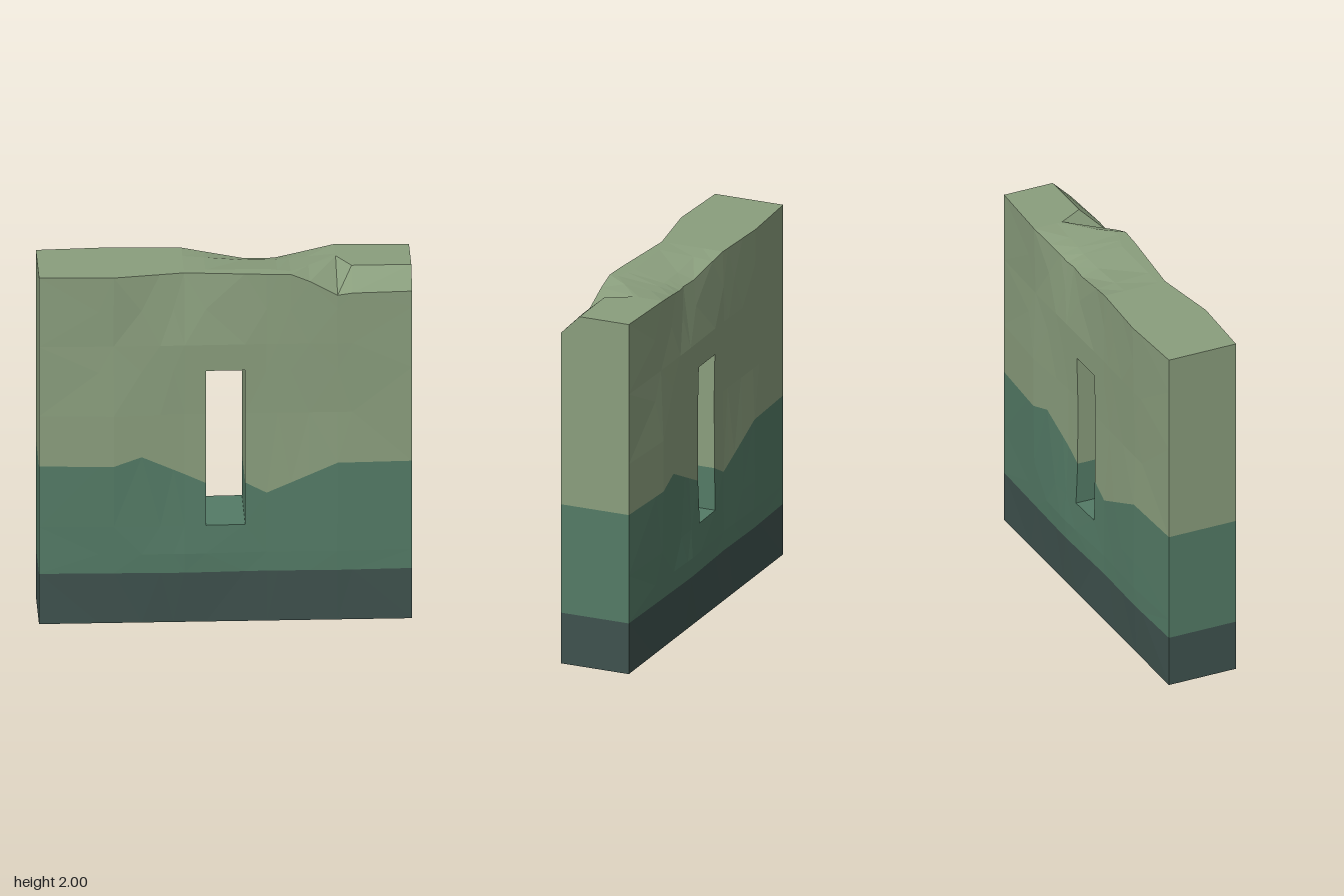
import * as THREE from 'three';

const MATS = {
  slate: new THREE.MeshStandardMaterial({ color: 0x3f524e }),
  teal: new THREE.MeshStandardMaterial({ color: 0x547b66 }),
  moss: new THREE.MeshStandardMaterial({ color: 0x8a9e7d }),
};
for (const [name, m] of Object.entries(MATS)) m.name = name;

const half = [0.105, 0.22, 0.28, 0.35, 0.45, 0.6, 0.68, 1];
const COLS = [...half.map((v) => -v).reverse(), ...half];
const BOTTOM = 0.56, LINTEL = 1.45, SLATE = 0.29; // window and base heights

// Piecewise-linear curve through [x, value] points
function curve(points, x) {
  if (x <= points[0][0]) return points[0][1];
  for (let i = 1; i < points.length; i++) {
    const [x0, v0] = points[i - 1], [x1, v1] = points[i];
    if (x <= x1) return v0 + ((v1 - v0) * (x - x0)) / (x1 - x0);
  }
  return points[points.length - 1][1];
}

// Upper limit of the teal band across a face
const band = (u) => curve([[-1, 0.91], [-0.57, 0.91], [-0.45, 0.96], [-0.105, 0.8],
  [0.105, 0.8], [0.22, 0.74], [0.6, 0.91], [1, 0.91]], u);

// Worn top edges: bitten corner on the front, shallow dip on the back
const frontTop = (x) => curve([[0.35, 2], [0.45, 1.96], [0.6, 1.88], [0.68, 1.89], [1, 1.89]], x);
const backTop = (x) => curve([[-0.22, 2], [0.105, 1.945], [0.28, 1.945], [0.6, 2]], x);
const biteDepth = (x) => curve([[0.22, 0.12], [0.35, 0.16], [0.6, -0.05], [0.68, 0.09]], x);

// Uneven thickness, in hundredths, on a coarse grid
const GX = [-1, -0.6, -0.22, 0.22, 0.6, 1];
const RELIEF = [
  [0, [0, 0, 0, 0, 0, 0]],
  [0.4, [0, 1.2, 2.2, 0.5, 1.4, 0]],
  [0.8, [0, 2.2, 0, 0.3, 1.6, 0]],
  [1.2, [0, 2.2, 0, 0, 0.4, 0]],
  [1.6, [0, 0.8, 1, 0.6, 1.4, 0]],
  [2, [0, 1.8, -4, 0, 2, 0]],
];
function depth(u, y) {
  const rows = RELIEF.map(([ry, v]) => [ry, curve(GX.map((g, i) => [g, v[i]]), u)]);
  return 0.2 + curve(rows, y) / 100;
}

// Collects flat facets by colour and turns them into meshes
function part(name, fill) {
  const tris = { slate: [], teal: [], moss: [] };
  fill((colour, ...p) => {
    for (let i = 1; i < p.length - 1; i++) tris[colour].push(...p[0], ...p[i], ...p[i + 1]);
  });
  const group = new THREE.Group();
  group.name = name;
  for (const colour in tris) {
    if (!tris[colour].length) continue;
    const g = new THREE.BufferGeometry();
    g.setAttribute('position', new THREE.Float32BufferAttribute(tris[colour], 3));
    g.computeVertexNormals();
    const mesh = new THREE.Mesh(g, MATS[colour]);
    mesh.name = `${name} ${colour}`;
    group.add(mesh);
  }
  return group;
}

// Large face; s = 1 is the front, s = -1 the back, turned half round
function face(name, s) {
  return part(name, (poly) => {
    const column = (u) => {
      const top = s > 0 ? frontTop(u) : backTop(-u);
      return [0, SLATE, 0.4, BOTTOM, band(u), 1.2, LINTEL, 1.6, 1.8, top]
        .map((y) => [s * u, y, s * depth(u, y)]);
    };
    for (let i = 0; i < COLS.length - 1; i++) {
      const a = column(COLS[i]), b = column(COLS[i + 1]);
      for (let j = 0; j < a.length - 1; j++) {
        if (COLS[i] === -0.105 && j >= 3 && j <= 5) continue; // window opening
        const colour = j < 1 ? 'slate' : j < 4 ? 'teal' : 'moss';
        if ((i + j) % 2) poly(colour, a[j], b[j], b[j + 1], a[j + 1]);
        else poly(colour, b[j], b[j + 1], a[j + 1], a[j]);
      }
    }
  });
}

export function createModel() {
  const wall = new THREE.Group();
  wall.name = 'wall';
  wall.add(face('frontFace', 1), face('backFace', -1));

  // Top surface with the bitten corner
  wall.add(part('topSurface', (poly) => {
    const strip = (x) => [
      [x, frontTop(x), depth(x, frontTop(x))],
      [x, 2, biteDepth(x)],
      [x, (2 + backTop(x)) / 2, -0.08],
      [x, backTop(x), -depth(-x, backTop(x))],
    ];
    for (let i = 0; i < COLS.length - 1; i++) {
      const a = strip(COLS[i]), b = strip(COLS[i + 1]);
      for (let j = 0; j < 3; j++) poly('moss', a[j], b[j], b[j + 1], a[j + 1]);
    }
  }));

  // Narrow ends
  for (const s of [1, -1]) {
    wall.add(part(s > 0 ? 'leftEnd' : 'rightEnd', (poly) => {
      const quad = (colour, y0, y1) => poly(colour,
        [s, y0, s * 0.2], [s, y0, -s * 0.2], [s, y1, -s * 0.2], [s, y1, s * 0.2]);
      quad('slate', 0, SLATE);
      quad('teal', SLATE, 0.91);
      quad('moss', 0.91, s > 0 ? 1.89 : 2);
      if (s > 0) poly('moss', [1, 1.89, 0.2], [1, 1.89, -0.2], [1, 2, -0.2], [1, 2, 0.09]);
    }));
  }

  // Underside
  wall.add(part('underside', (poly) => {
    const quad = (colour, z0, z1) =>
      poly(colour, [-1, 0, z0], [1, 0, z0], [1, 0, z1], [-1, 0, z1]);
    quad('moss', -0.2, 0.12);
    quad('teal', 0.12, 0.2);
  }));

  // Lining of the slit window
  wall.add(part('windowLining', (poly) => {
    const w = 0.105;
    const corner = (x, y, s) => [x, y, s * depth(s * x, y)];
    for (const s of [1, -1]) {
      const x = -s * w;
      const jamb = (colour, y0, y1) => poly(colour,
        corner(x, y0, s), corner(x, y0, -s), corner(x, y1, -s), corner(x, y1, s));
      jamb('teal', BOTTOM, 0.8);
      jamb('moss', 0.8, 1.2);
      jamb('moss', 1.2, LINTEL);
    }
    poly('teal', corner(-w, BOTTOM, 1), corner(w, BOTTOM, 1),
      corner(w, BOTTOM, -1), corner(-w, BOTTOM, -1));
    poly('moss', corner(-w, LINTEL, -1), corner(w, LINTEL, -1),
      corner(w, LINTEL, 1), corner(-w, LINTEL, 1));
  }));

  return wall;
}
